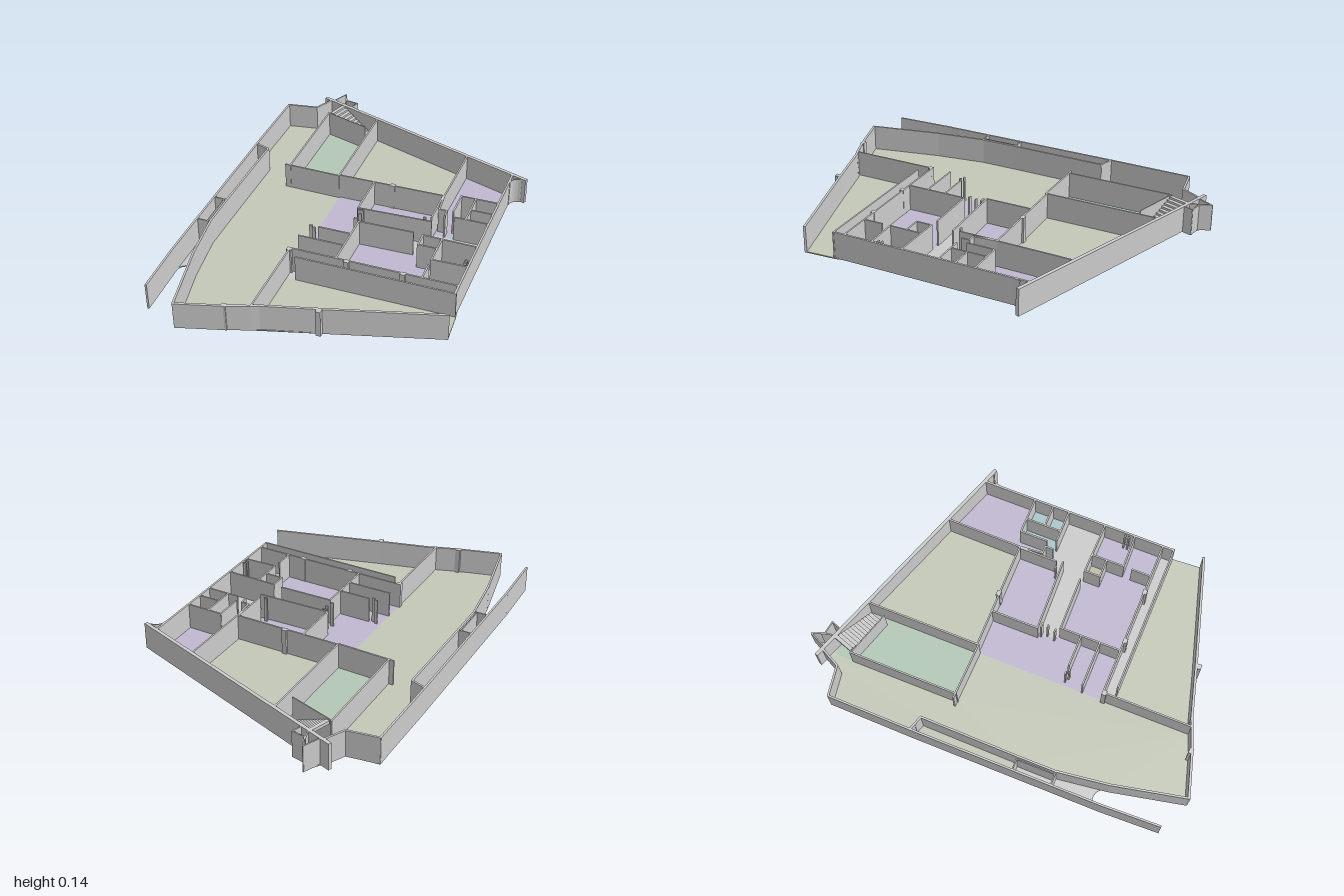
import * as THREE from 'three';

const H = 0.14, SLAB = 0.006;
const GREY = 0xcccccc, OLIVE = 0xc3c8b8, GREEN = 0xb3c8b6, PURPLE = 0xc0b8d0, CYAN = 0xaac6ca, TAN = 0xbfbca6;

export function createModel() {
  const model = new THREE.Group();
  model.name = 'floorPlan';
  const materials = {};
  const mat = (c) => (materials[c] ??= new THREE.MeshStandardMaterial({ color: c, flatShading: true }));

  // Floor slab from a plan outline of [x, z] corners
  const floor = (name, color, points) => {
    const shape = new THREE.Shape(points.map(([x, z]) => new THREE.Vector2(x, -z)));
    const geo = new THREE.ExtrudeGeometry(shape, { depth: SLAB, bevelEnabled: false });
    geo.rotateX(-Math.PI / 2);
    const mesh = new THREE.Mesh(geo, mat(color));
    mesh.name = name;
    model.add(mesh);
  };

  // Run of upright wall panels along a plan path
  const wall = (name, path, thick = 0.01) => {
    const group = new THREE.Group();
    group.name = name;
    for (let i = 0; i < path.length - 1; i++) {
      const [x0, z0] = path[i], [x1, z1] = path[i + 1];
      const length = Math.hypot(x1 - x0, z1 - z0);
      const y0 = 0.002;
      const mesh = new THREE.Mesh(new THREE.BoxGeometry(length + thick * 0.5, H - y0, thick), mat(GREY));
      mesh.position.set((x0 + x1) / 2, (H + y0) / 2, (z0 + z1) / 2);
      mesh.rotation.y = -Math.atan2(z1 - z0, x1 - x0);
      mesh.name = name + 'Panel';
      group.add(mesh);
    }
    model.add(group);
  };

  // Floors
  floor('westHallFloor', OLIVE, [[-0.71, -0.79], [-0.55, -0.81], [-0.5, -0.9], [-0.465, -0.87], [-0.465, -0.22],
    [-0.195, -0.22], [-0.195, 0.89], [-0.53, 0.99], [-0.605, 0.61], [-0.64, 0.36], [-0.64, 0.17], [-0.71, 0.17]]);
  floor('greenRoomFloor', GREEN, [[-0.465, -0.89], [-0.195, -0.8], [-0.195, -0.22], [-0.465, -0.22]]);
  floor('northHallFloor', OLIVE, [[-0.195, -0.8], [0.365, -0.61], [0.36, -0.22], [-0.195, -0.22]]);
  floor('northEastRoomFloor', PURPLE, [[0.365, -0.61], [0.63, -0.52], [0.63, -0.26], [0.44, -0.26], [0.44, -0.07],
    [0.36, -0.07], [0.36, -0.22]]);
  floor('washroomFloor', CYAN, [[0.44, -0.26], [0.63, -0.26], [0.63, -0.07], [0.44, -0.07]]);
  floor('officeFloor', PURPLE, [[-0.195, -0.22], [0.36, -0.22], [0.36, 0], [0, 0.02], [0.03, 0.12], [0.36, 0.12],
    [0.36, 0.2], [0.45, 0.2], [0.45, 0.125], [0.63, 0.13], [0.63, 0.43], [-0.195, 0.43]]);
  floor('corridorFloor', GREY, [[0, 0.02], [0.36, 0], [0.36, -0.07], [0.63, -0.07], [0.63, 0.13], [0.45, 0.125],
    [0.36, 0.12], [0.03, 0.12]]);
  floor('closetFloor', TAN, [[0.36, 0.12], [0.45, 0.125], [0.45, 0.2], [0.36, 0.2]]);
  floor('southPassageFloor', GREY, [[-0.195, 0.43], [0.63, 0.43], [0.64, 0.49], [-0.195, 0.49]]);
  floor('southHallFloor', OLIVE, [[-0.195, 0.49], [0.64, 0.49], [0.65, 0.65], [-0.195, 0.89]]);
  floor('northPorchFloor', GREY, [[-0.5, -0.9], [-0.45, -0.98], [-0.42, -0.94], [-0.355, -0.92], [-0.375, -0.86], [-0.465, -0.87]]);

  // West strip, ending in a round scoop
  const scoop = Array.from({ length: 13 }, (_, i) => {
    const a = Math.PI * i / 12;
    return [-0.657 + 0.05 * Math.cos(a), 0.61 - 0.045 * Math.sin(a)];
  });
  floor('westStripFloor', GREY, [[-0.71, 0.17], [-0.64, 0.17], [-0.64, 0.36], [-0.605, 0.61], ...scoop, [-0.71, 0.61]]);

  // Outer walls
  wall('westWall', [[-0.7, 0.91], [-0.71, 0.62], [-0.71, -0.36], [-0.705, -0.785], [-0.55, -0.81], [-0.5, -0.91]]);
  wall('westInnerWall', [[-0.71, -0.355], [-0.635, -0.33], [-0.64, 0.17], [-0.64, 0.36], [-0.605, 0.62], [-0.527, 0.985]]);
  wall('westStripWall', [[-0.68, -0.34], [-0.68, -0.345]], 0.004);
  for (const z of [0.17, 0.365]) wall('westCrossWall', [[-0.705, z], [-0.64, z]], 0.006);
  wall('westScreen', [[-0.655, 0.17], [-0.655, 0.365]], 0.005);
  wall('northWall', [[-0.535, -0.925], [0.705, -0.505]], 0.018);
  wall('eastWall', [[0.63, -0.53], [0.63, 0.49]]);
  wall('southWall', [[-0.527, 0.987], [-0.31, 0.925], [-0.195, 0.885], [-0.16, 0.87], [0.1, 0.8], [0.648, 0.645]], 0.012);
  wall('northPorchWall', [[-0.485, -0.91], [-0.447, -0.995], [-0.42, -0.935], [-0.355, -0.925], [-0.375, -0.87]], 0.006);
  wall('northPorchFin', [[-0.43, -0.95], [-0.41, -0.88]], 0.006);

  // Curved return at the north-east corner
  wall('cornerReturn', Array.from({ length: 6 }, (_, i) => {
    const a = Math.PI / 2 * i / 5;
    return [0.685 - 0.05 * Math.sin(a), -0.455 - 0.045 * Math.cos(a)];
  }), 0.005);

  // Inner walls
  const inner = {
    greenRoomWall: [[[-0.465, -0.78], [-0.465, -0.22]], [[-0.49, -0.225], [-0.195, -0.218]], [[-0.195, -0.8], [-0.195, -0.22]]],
    northHallWall: [[[-0.195, -0.225], [0.36, -0.228]], [[0.365, -0.61], [0.36, -0.228], [0.37, -0.11]]],
    upperOfficeWall: [[[-0.008, -0.22], [-0.008, 0.015], [0.365, 0.002]], [[0.355, -0.22], [0.355, -0.03]], [[0, 0.03], [0.025, 0.03]]],
    washroomWall: [[[0.44, -0.115], [0.44, -0.255], [0.63, -0.255]], [[0.515, -0.255], [0.515, -0.075]],
      [[0.515, -0.155], [0.63, -0.155]], [[0.46, -0.07], [0.63, -0.07]], [[0.37, -0.11], [0.41, -0.11], [0.41, -0.07]]],
    corridorWall: [[[0.035, 0.12], [0.31, 0.115]], [[0.36, 0.12], [0.63, 0.125]], [[0.005, 0.1], [0.02, 0.1]]],
    lowerOfficeWall: [[[0.035, 0.12], [0.035, 0.43]], [[-0.13, 0.228], [0.03, 0.228]], [[-0.195, 0.325], [0.03, 0.325]],
      [[0.455, 0.125], [0.455, 0.29], [0.63, 0.285]], [[0.455, 0.335], [0.455, 0.43]]],
    closetWall: [[[0.36, 0.12], [0.36, 0.2], [0.45, 0.2]]],
    passageWall: [[[-0.195, 0.43], [0.63, 0.434]], [[-0.145, 0.487], [0.635, 0.492]]],
    southHallWall: [[[-0.195, 0.43], [-0.195, 0.88]]],
  };
  for (const [name, runs] of Object.entries(inner)) runs.forEach((run) => wall(name, run, 0.008));

  // Columns set in the long walls, and short door jambs
  for (const [x, z] of [[0.09, -0.23], [0.09, 0.437], [0.365, 0.437], [0.1, 0.815], [-0.31, 0.92], [-0.195, 0.437]]) {
    wall('column', [[x - 0.007, z], [x + 0.007, z]], 0.022);
  }
  for (const [x, z] of [[-0.17, 0.228], [-0.15, 0.24], [0.02, 0.06], [0.325, -0.02], [0.61, 0.24], [0.61, 0.26]]) {
    wall('doorJamb', [[x - 0.006, z], [x + 0.006, z]], 0.008);
  }

  // Stair beside the north wall, climbing toward the west
  const stair = new THREE.Group();
  stair.name = 'stair';
  const steps = 12, run = 0.235 / steps;
  for (let i = 0; i < steps; i++) {
    const rise = (H - 0.01) / steps;
    const step = new THREE.Mesh(new THREE.BoxGeometry(run, rise + 0.006, 0.105), mat(GREY));
    step.position.set(0.1175 - (i + 0.5) * run, SLAB + (i + 0.5) * rise, 0);
    step.name = 'step';
    stair.add(step);
  }
  stair.position.set(-0.33, 0, -0.795);
  stair.rotation.y = -Math.atan2(0.42, 1.24);
  model.add(stair);
  wall('stairWall', [[-0.46, -0.775], [-0.23, -0.705]], 0.005);

  return model;
}
